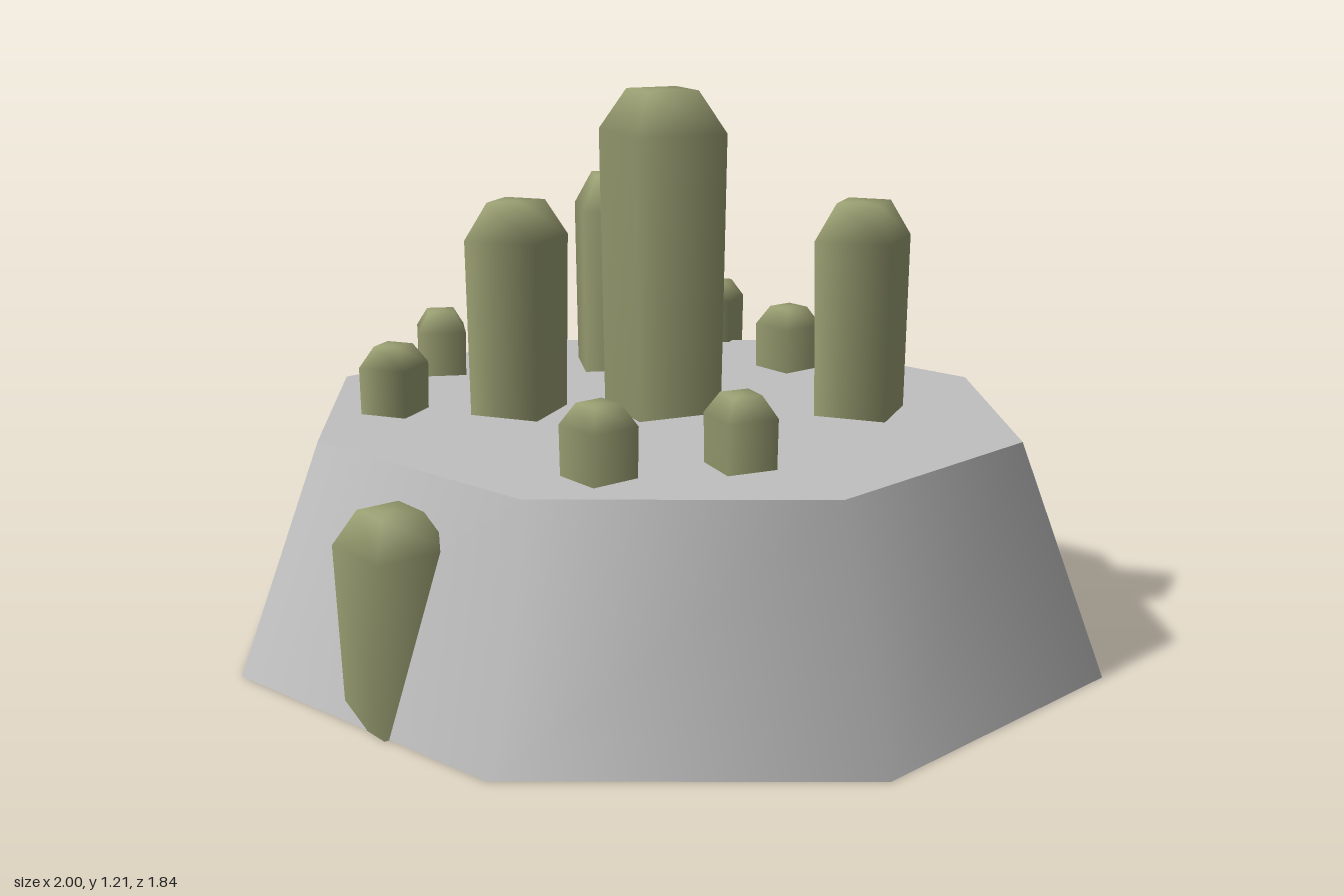
import * as THREE from 'three';
import { mergeGeometries } from 'three/addons/utils/BufferGeometryUtils.js';

const stone = new THREE.MeshStandardMaterial({ color: 0xc0c0c0 });
stone.name = 'palStone';
const crystalGreen = new THREE.MeshStandardMaterial({ color: 0x9a9f72 });
crystalGreen.name = 'mossGreen';

// Four-sided shaft, widening slightly upward, with a bevelled flat tip
function crystalGeometry(side, height, bevel) {
  const r = side / Math.SQRT2; // centre to corner
  const profile = [
    [r * 0.87, 0],
    [r, height - bevel],
    [r * 0.56, height],
    [0, height],
  ].map(([x, y]) => new THREE.Vector2(x, y));
  const shaft = new THREE.LatheGeometry(profile, 4, Math.PI / 4);
  const foot = new THREE.CircleGeometry(r * 0.87, 4, Math.PI / 4);
  foot.rotateX(Math.PI / 2);
  return mergeGeometries([shaft, foot]);
}

export function createModel() {
  const model = new THREE.Group();
  model.name = 'crystalRock';

  // Eight-sided tapering rock, squashed front to back
  const rock = new THREE.CylinderGeometry(0.81, 1, 0.499, 8);
  rock.scale(1, 1, 0.92);
  rock.translate(0, 0.2505, 0);
  const base = new THREE.Mesh(rock, stone);
  base.name = 'rockBase';
  model.add(base);

  // Each kind: side, height, bevel, then placements [x, z, turn in degrees]
  const kinds = [
    { name: 'mainCrystal', size: [0.212, 1.21, 0.09], at: [[0, 0, 45]] },
    {
      name: 'tallCrystal', size: [0.17, 0.97, 0.08],
      at: [[0.42, -0.13, 0], [-0.29, 0.135, 0], [-0.265, -0.36, 30]],
    },
    {
      name: 'slopeCrystal', size: [0.17, 0.44, 0.075],
      at: [[-0.29, 0.73, -30], [-0.6, -0.53, 30]],
    },
    {
      name: 'smallCrystal', size: [0.112, 0.65, 0.045],
      at: [
        [-0.135, -0.74, 0], [0.143, -0.483, -30], [-0.625, -0.138, 30],
        [-0.545, 0.242, 0], [0.315, 0.382, 45], [0.08, 0.555, -30],
      ],
    },
  ];

  for (const { name, size, at } of kinds) {
    const geometry = crystalGeometry(...size);
    at.forEach(([x, z, turn], i) => {
      const crystal = new THREE.Mesh(geometry, crystalGreen);
      crystal.name = at.length > 1 ? name + (i + 1) : name;
      crystal.position.set(x, 0, z);
      crystal.rotation.y = THREE.MathUtils.degToRad(turn);
      model.add(crystal);
    });
  }
  return model;
}
